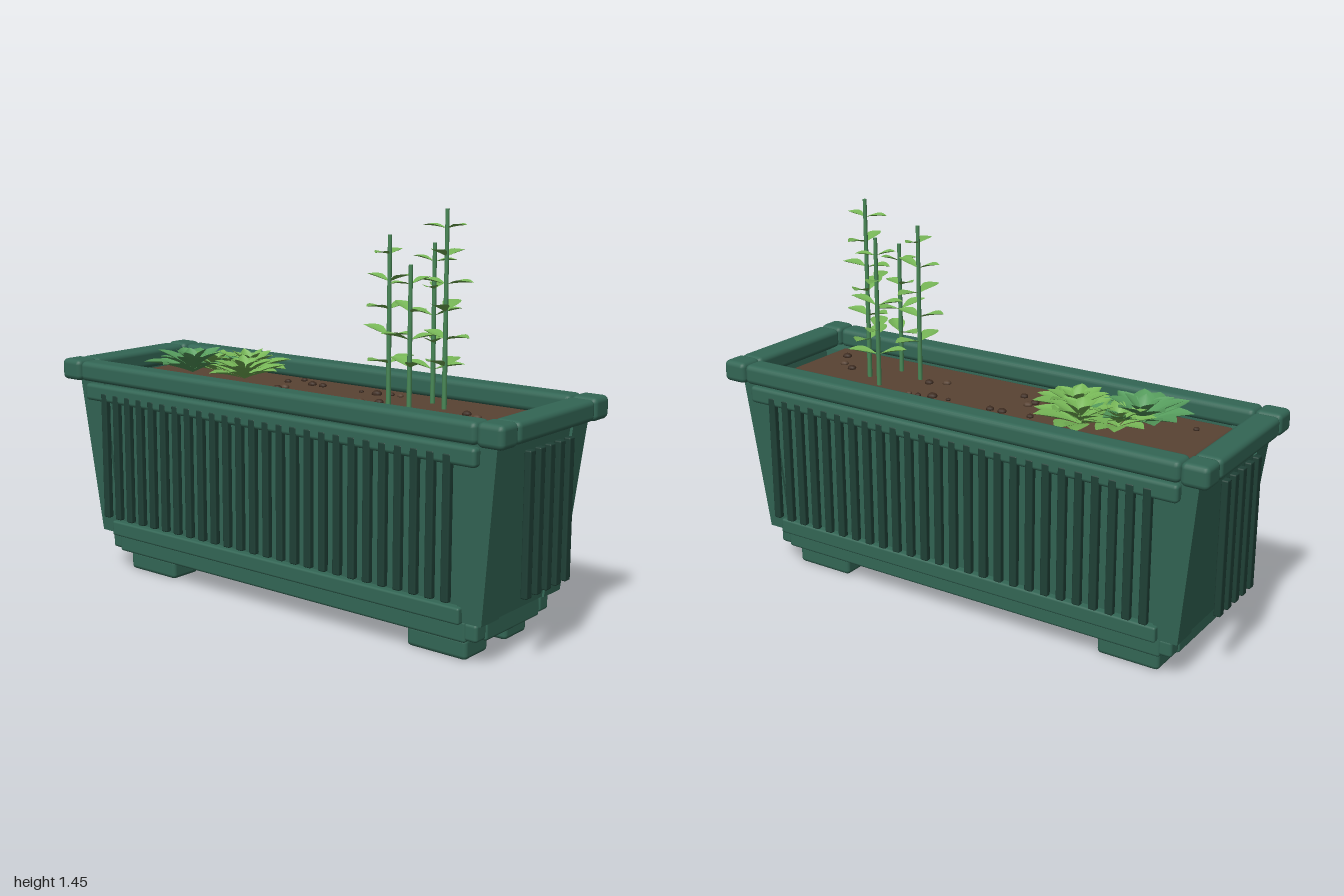
import * as THREE from 'three';
import { mergeGeometries } from 'three/addons/utils/BufferGeometryUtils.js';
import { RoundedBoxGeometry } from 'three/addons/geometries/RoundedBoxGeometry.js';

const SOIL_Y = 0.775;
const mat = (name, color, side = THREE.FrontSide) =>
  Object.assign(new THREE.MeshStandardMaterial({ color, side }), { name });

export function createModel() {
  const green = mat('planter green', 0x336655);
  const darkGreen = mat('slat dark green', 0x1f4036);
  const brown = mat('soil brown', 0x594333);
  const darkBrown = mat('clod brown', 0x3f2d22);
  const stemGreen = mat('stem green', 0x4a8a58);
  const leafGreen = mat('leaf green', 0x76b556, THREE.DoubleSide);
  const deepLeaf = mat('deep leaf green', 0x559b5c, THREE.DoubleSide);

  const root = new THREE.Group();
  root.name = 'planter';
  let seed = 7;
  const rand = (a, b) => {
    seed = (seed * 16807) % 2147483647;
    return a + (b - a) * (seed / 2147483647);
  };
  const add = (name, geometry, material) => {
    const m = new THREE.Mesh(geometry, material);
    m.name = name;
    root.add(m);
    return m;
  };
  // Rounded box given by its extents on each axis
  const block = (name, [x0, x1], [y0, y1], [z0, z1], material = green, r = 0.014) => {
    const g = new RoundedBoxGeometry(Math.abs(x1 - x0), y1 - y0, Math.abs(z1 - z0), 2, r);
    g.translate((x0 + x1) / 2, (y0 + y1) / 2, (z0 + z1) / 2);
    return add(name, g, material);
  };
  // Box whose bottom and top rectangles differ: [x0, x1, z0, z1]
  const tapered = (name, bottom, top, y0, y1) => {
    const g = new THREE.BoxGeometry(1, 1, 1);
    const p = g.attributes.position;
    for (let i = 0; i < p.count; i++) {
      const up = p.getY(i) > 0;
      const [xa, xb, za, zb] = up ? top : bottom;
      p.setXYZ(i,
        p.getX(i) > 0 ? Math.max(xa, xb) : Math.min(xa, xb), up ? y1 : y0,
        p.getZ(i) > 0 ? Math.max(za, zb) : Math.min(za, zb));
    }
    g.computeVertexNormals();
    add(name, g, green);
  };
  const signs = [-1, 1];

  // Front and back: rim, bands, wall and slats
  for (const s of signs) {
    block('longRim', [-0.9, 0.9], [0.76, 0.835], [s * 0.24, s * 0.33], green, 0.02);
    block('upperBand', [-0.89, 0.89], [0.685, 0.75], [s * 0.275, s * 0.315]);
    block('lowerBand', [-0.81, 0.81], [0.15, 0.207], [s * 0.232, s * 0.268], green, 0.008);
    block('longBaseRail', [-0.81, 0.81], [0.077, 0.152], [s * 0.165, s * 0.228], green, 0.01);
    tapered('longWall', [-0.82, 0.82, s * 0.222, s * 0.236], [-0.86, 0.86, s * 0.257, s * 0.271], 0.15, 0.765);
    for (let i = 0; i < 26; i++) {
      const x = -0.785 + i * 0.0628;
      block('longSlat', [x - 0.015, x + 0.015], [0.235, 0.72], [s * 0.294, s * 0.317], darkGreen, 0.005);
    }
    // Ends
    block('endRim', [s * 0.9, s], [0.76, 0.835], [-0.238, 0.238], green, 0.02);
    block('endBaseRail', [s * 0.79, s * 0.853], [0.077, 0.155], [-0.165, 0.165], green, 0.01);
    tapered('endWall', [s * 0.867, s * 0.875, -0.18, 0.18], [s * 0.93, s * 0.94, -0.22, 0.22], 0.155, 0.765);
    for (let i = -2; i <= 2; i++) {
      block('endSlat', [s * 0.957, s * 0.982], [0.238, 0.725],
        [i * 0.061 - 0.016, i * 0.061 + 0.016], darkGreen, 0.005);
    }
    // Corners and feet
    for (const t of signs) {
      block('rimCorner', [s * 0.9, s], [0.757, 0.838], [t * 0.236, t * 0.333], green, 0.02);
      tapered('cornerPost',
        [s * 0.79, s * 0.883, t * 0.14, t * 0.246], [s * 0.82, s * 0.95, t * 0.185, t * 0.281], 0.155, 0.765);
      block('baseCorner', [s * 0.8, s * 0.853], [0.085, 0.148], [t * 0.165, t * 0.225], green, 0.012);
      block('foot', [s * 0.55, s * 0.79], [0, 0.075], [t * 0.054, t * 0.19], green, 0.016);
    }
  }
  block('floor', [-0.8, 0.8], [0.085, 0.12], [-0.18, 0.18], darkGreen, 0.004);
  block('soil', [-0.85, 0.85], [0.66, SOIL_Y], [-0.212, 0.208], brown, 0.015);

  // Clods on the soil
  const clods = [[0.13, -0.1], [0.2, -0.1], [0.25, -0.12], [0.29, -0.12], [-0.1, -0.1], [-0.05, -0.1],
    [-0.18, -0.15], [-0.14, 0.01], [-0.15, 0.04], [-0.08, 0.08], [0.65, 0], [0.71, 0.03], [0.76, 0.11],
    [-0.75, 0.11], [-0.21, -0.09], [0.24, 0.05], [0.3, 0.02]];
  clods.forEach(([x, z], i) => {
    const c = add('clod', new THREE.SphereGeometry(rand(0.009, 0.02), 8, 6), i % 4 === 3 ? brown : darkBrown);
    c.scale.y = 0.7;
    c.position.set(x, SOIL_Y + 0.003, z);
  });

  // Cupped leaf growing along +x, widest at the share "peak", arched by "droop"
  const leaf = (length, width, peak, droop) => {
    const g = new THREE.PlaneGeometry(1, 1, 8, 4);
    g.rotateX(-Math.PI / 2);
    const p = g.attributes.position;
    const power = Math.log(0.5) / Math.log(peak);
    for (let i = 0; i < p.count; i++) {
      const t = p.getX(i) + 0.5, v = p.getZ(i) * 2;
      const half = width / 2 * Math.max(Math.sin(Math.PI * Math.pow(t, power)), 0.03);
      p.setXYZ(i, t * length, v * v * half * 0.3 - droop * length * t * t, v * half);
    }
    g.computeVertexNormals();
    return g;
  };
  const place = (g, x, y, z, yaw, pitch) => g.rotateZ(pitch).rotateY(yaw).translate(x, y, z);

  // Upright plants with crossed pairs of leaves: [x, z, top, yaw]
  const stems = [[0.355, 0.04, 1.36, 1.5], [0.445, -0.095, 1.33, 0.4], [0.535, -0.035, 1.45, 0.1],
    [0.475, 0.085, 1.27, 1.1]];
  for (const [x, z, top, yaw] of stems) {
    const h = top - SOIL_Y + 0.02;
    add('stem', new THREE.CylinderGeometry(0.007, 0.009, h, 8).translate(x, top - h / 2, z), stemGreen);
    const leaves = [];
    let k = 0;
    for (let y = top - 0.065; y > 0.88; y -= 0.093, k++) {
      const size = Math.min(0.08 + k * 0.011, 0.108);
      for (const half of [0, Math.PI]) {
        leaves.push(place(leaf(size * rand(0.9, 1.1), size * 0.6, 0.58, 0.12),
          x, y, z, yaw + k * Math.PI / 2 + half + rand(-0.2, 0.2), rand(0.2, 0.45)));
      }
    }
    add('stemLeaves', mergeGeometries(leaves), leafGreen);
  }

  // Low rosettes: [x, z, radius, material]
  const rosettes = [[-0.58, 0.04, 0.18, deepLeaf], [-0.41, -0.09, 0.165, leafGreen],
    [-0.33, 0.02, 0.15, leafGreen], [-0.53, -0.04, 0.13, leafGreen]];
  for (const [x, z, r, material] of rosettes) {
    const leaves = [];
    [[9, 1, 0.4], [8, 0.78, 0.62], [5, 0.5, 0.9]].forEach(([n, share, pitch], ring) => {
      for (let i = 0; i < n; i++) {
        const yaw = (i + ring * 0.5) / n * Math.PI * 2 + rand(-0.15, 0.15);
        leaves.push(place(leaf(r * share * rand(0.92, 1.1), r * share * 0.52, 0.62, 0.15),
          x, SOIL_Y + 0.015 + ring * 0.012, z, yaw, pitch + rand(-0.08, 0.08)));
      }
    });
    add('rosette', mergeGeometries(leaves), material);
  }
  return root;
}
